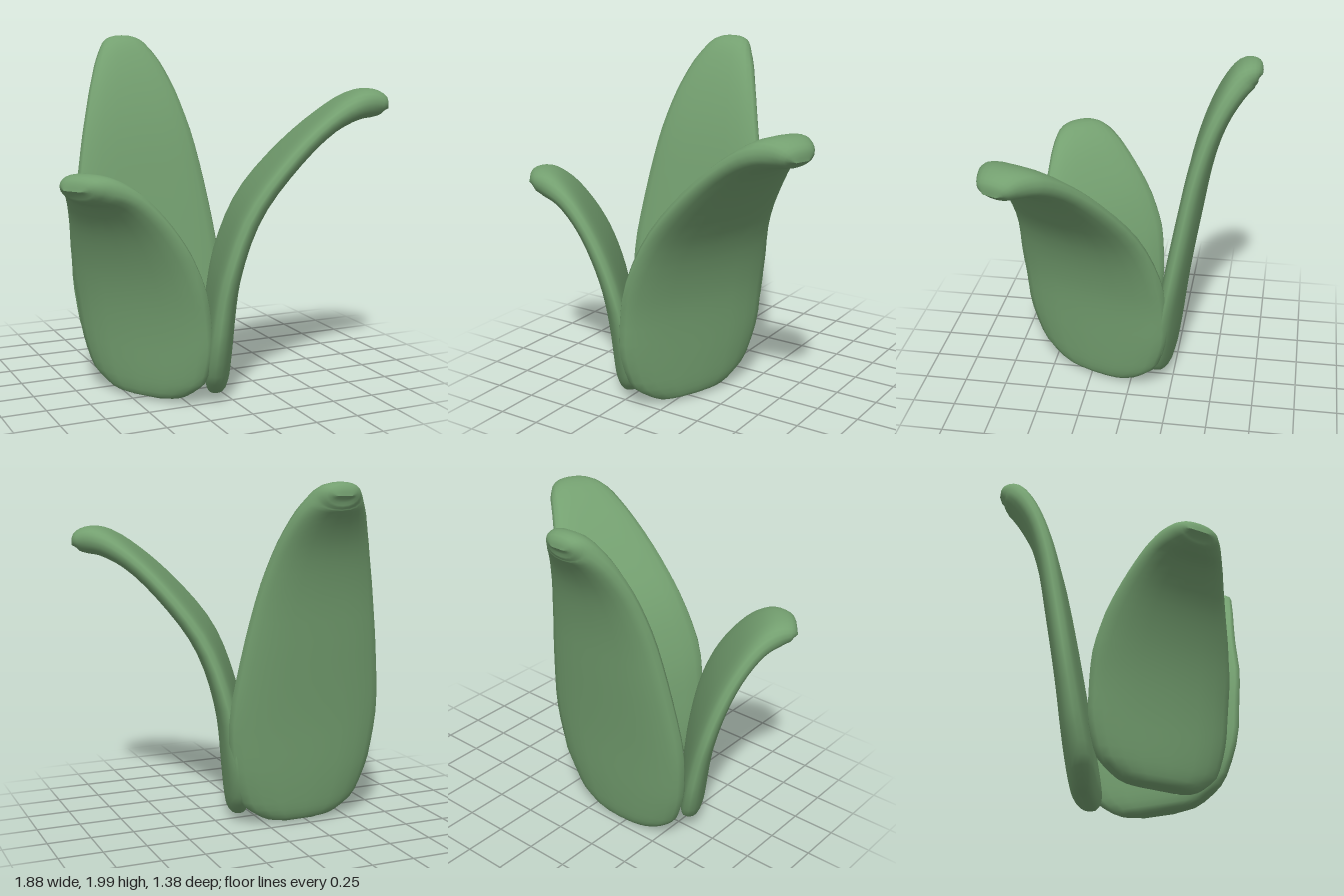
import * as THREE from 'three';

const SIDES = 20, RINGS = 36, CUP = 0.04;
const material = new THREE.MeshStandardMaterial({ color: 0x74a070 });
const power = (v, e) => Math.sign(v) * Math.abs(v) ** e;

// A thick leaf blade lofted along its spine; lean shifts the tip sideways.
// Each row: [outward, height, half width, half thickness]
function leaf(name, x, z, yaw, lean, rows) {
  const spine = new THREE.CatmullRomCurve3(rows.map(([r, y]) => new THREE.Vector3(0, y, r)));
  const section = new THREE.CatmullRomCurve3(rows.map(([, , w, t]) => new THREE.Vector3(w, t, 0)));
  const positions = [], index = [];
  for (let i = 0; i <= RINGS; i++) {
    const t = i / RINGS;
    const c = spine.getPoint(t), tan = spine.getTangent(t), s = section.getPoint(t);
    // flat slab section low down, oval at the tip
    const e = 0.72 + 0.28 * t ** 3;
    // the side edges curl inward, fading out toward the tip
    const curl = CUP * (1 - t) * Math.min(1, t * 5);
    for (let j = 0; j < SIDES; j++) {
      const a = (j / SIDES) * Math.PI * 2;
      const u = power(Math.cos(a), e);
      const n = Math.max(s.y, 0) * power(Math.sin(a), e) - curl * u * u;
      positions.push(s.x * u + lean * t * t, c.y - tan.z * n, c.z + tan.y * n);
      if (i < RINGS) {
        const p = i * SIDES + j, q = i * SIDES + (j + 1) % SIDES;
        index.push(p, p + SIDES, q, q, p + SIDES, q + SIDES);
      }
    }
  }
  const geometry = new THREE.BufferGeometry();
  geometry.setAttribute('position', new THREE.Float32BufferAttribute(positions, 3));
  geometry.setIndex(index);
  geometry.computeVertexNormals();
  const mesh = new THREE.Mesh(geometry, material);
  mesh.name = name;
  mesh.position.set(x, 0, z);
  mesh.rotation.y = THREE.MathUtils.degToRad(yaw);
  return mesh;
}

export function createModel() {
  const group = new THREE.Group();
  group.name = 'leafCluster';
  group.add(
    // tall, upright leaf at the back
    leaf('backLeaf', -0.22, -0.165, 180, 0, [
      [0.0, 0.008, 0.09, 0], [0.0, 0.035, 0.22, 0.055], [0.01, 0.13, 0.36, 0.076],
      [0.042, 0.35, 0.44, 0.076], [0.085, 0.65, 0.468, 0.07], [0.15, 1.05, 0.42, 0.068],
      [0.215, 1.4, 0.352, 0.065], [0.29, 1.65, 0.28, 0.065], [0.38, 1.83, 0.205, 0.075],
      [0.45, 1.915, 0.145, 0.08], [0.505, 1.93, 0.1, 0.06], [0.53, 1.925, 0.04, 0],
    ]),
    // wide leaf arching far outward
    leaf('leftLeaf', 0.018, 0.215, 68, 0, [
      [0.01, 0.008, 0.09, 0], [0.01, 0.035, 0.24, 0.055], [0.015, 0.15, 0.4, 0.074],
      [0.035, 0.42, 0.485, 0.075], [0.08, 0.72, 0.488, 0.07], [0.2, 1.05, 0.425, 0.066],
      [0.41, 1.33, 0.34, 0.064], [0.62, 1.53, 0.255, 0.066], [0.78, 1.625, 0.195, 0.08],
      [0.87, 1.638, 0.145, 0.08], [0.935, 1.625, 0.1, 0.058], [0.965, 1.61, 0.04, 0],
    ]),
    // short leaf, its tip swept toward the back
    leaf('rightLeaf', -0.41, 0.25, -54, -0.1, [
      [0, 0.008, 0.09, 0], [0, 0.035, 0.23, 0.055], [0.01, 0.14, 0.37, 0.07],
      [0.03, 0.36, 0.43, 0.07], [0.075, 0.62, 0.435, 0.066], [0.15, 0.86, 0.39, 0.063],
      [0.245, 1.05, 0.315, 0.062], [0.35, 1.185, 0.24, 0.07], [0.44, 1.24, 0.18, 0.08],
      [0.515, 1.248, 0.12, 0.06], [0.548, 1.24, 0.05, 0],
    ]),
  );
  return group;
}
